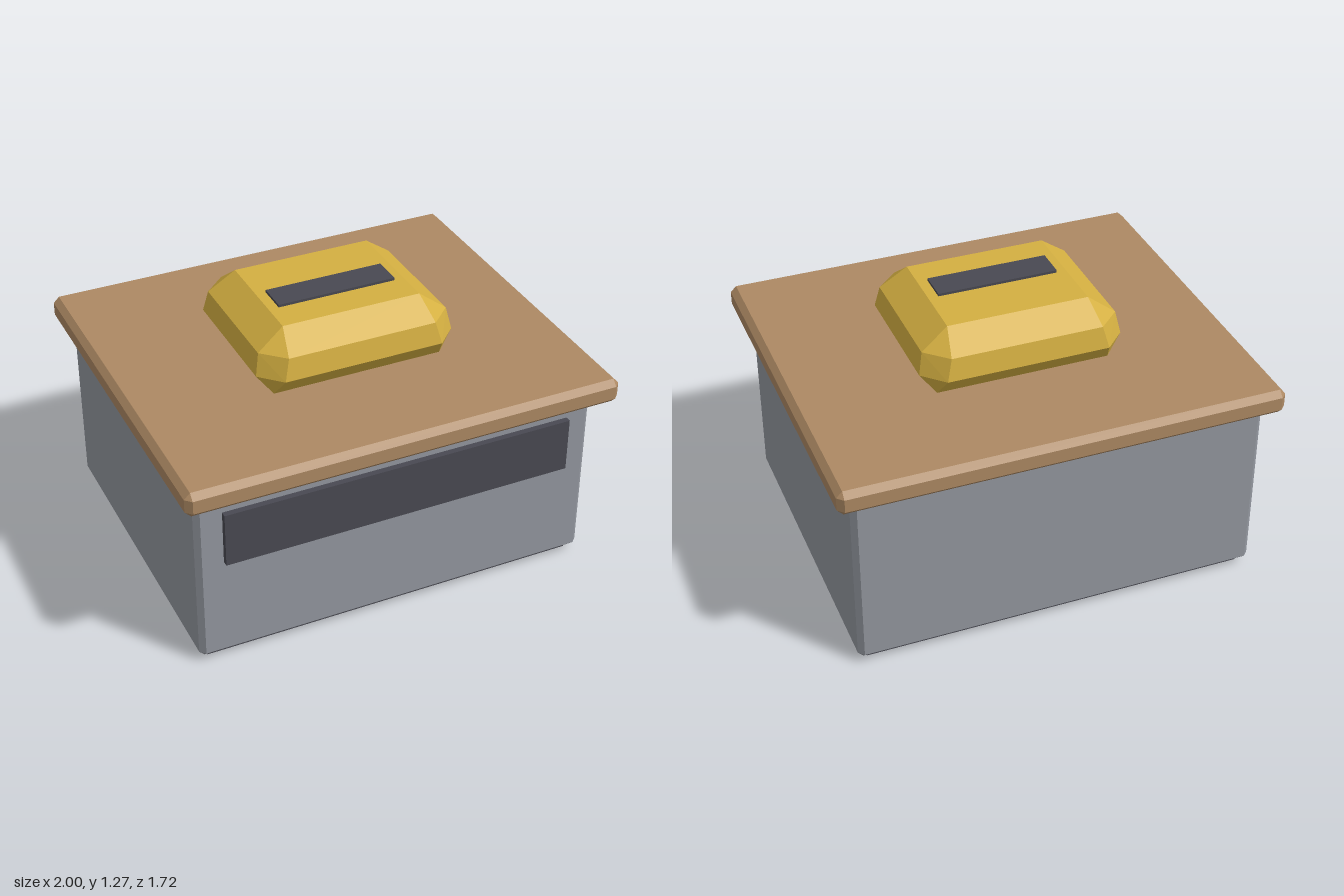
import * as THREE from 'three';
import { ConvexGeometry } from 'three/addons/geometries/ConvexGeometry.js';

const material = (name, color) => {
  const m = new THREE.MeshStandardMaterial({ color });
  m.name = name;
  return m;
};

// Every sign combination of a point, for shapes symmetric in x and z
const mirrorXZ = (x, y, z) =>
  [-1, 1].flatMap((sx) => [-1, 1].map((sz) => new THREE.Vector3(sx * x, y, sz * z)));

// Box with all edges cut by c
function chamferedBox(w, h, d, c) {
  const [x, y, z] = [w / 2, h / 2, d / 2];
  const points = [-1, 1].flatMap((s) => [
    ...mirrorXZ(x, s * (y - c), z - c),
    ...mirrorXZ(x - c, s * y, z - c),
    ...mirrorXZ(x - c, s * (y - c), z),
  ]);
  return new ConvexGeometry(points);
}

export function createModel() {
  const group = new THREE.Group();
  const grey = material('cabinet grey', 0x93979f);
  const dark = material('dark trim', 0x494952);
  const wood = material('wood', 0xad8963);
  const gold = material('gold', 0xd4af41);

  const add = (name, geometry, mat, x, y, z) => {
    const mesh = new THREE.Mesh(geometry, mat);
    mesh.name = name;
    mesh.position.set(x, y, z);
    group.add(mesh);
  };

  // Cabinet
  add('plinth', new THREE.BoxGeometry(1.77, 0.05, 1.445), dark, 0, 0.025, -0.022);
  add('cabinetBody', chamferedBox(1.86, 0.84, 1.535, 0.024), grey, 0, 0.445, -0.022);
  add('frontPanel', new THREE.BoxGeometry(1.62, 0.255, 0.04), dark, 0, 0.643, 0.753);
  add('worktop', chamferedBox(2, 0.115, 1.72, 0.027), wood, 0, 0.9225, 0);

  // Faceted block: square foot and top, cut corners between
  const facets = [
    [0.395, 0.98, 0.327],
    [0.465, 1.07, 0.302], [0.37, 1.07, 0.397],
    [0.445, 1.17, 0.282], [0.345, 1.17, 0.377],
    [0.322, 1.26, 0.262],
  ];
  add('facetedBlock', new ConvexGeometry(facets.flatMap((p) => mirrorXZ(...p))), gold, 0, 0, 0);
  add('topPlate', new THREE.BoxGeometry(0.552, 0.028, 0.14), dark, 0, 1.258, 0.045);

  return group;
}
